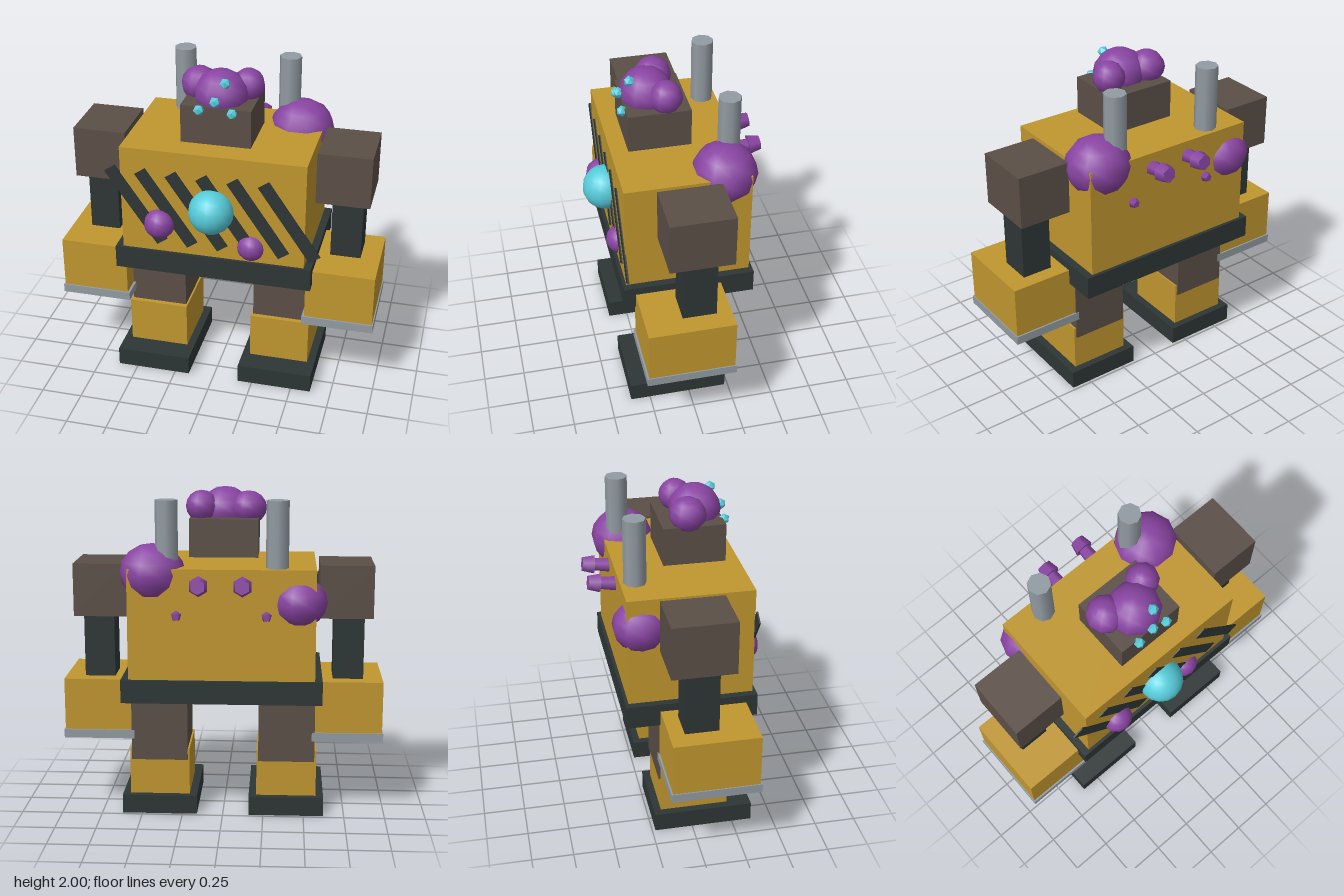
import * as THREE from 'three';

export function createModel() {
  const model = new THREE.Group();
  model.name = 'robot';

  const material = (name, color) => {
    const m = new THREE.MeshStandardMaterial({ color });
    m.name = name;
    return m;
  };
  const yellow = material('yellow armour', 0xc0962f);
  const dark = material('dark steel', 0x2d3635);
  const brown = material('brown metal', 0x5b4f47);
  const grey = material('grey metal', 0x929ba2);
  const purple = material('purple growth', 0x8944a2);
  const cyan = material('cyan glow', 0x56cbd9);

  const add = (name, geometry, mat, x, y, z, parent = model) => {
    const mesh = new THREE.Mesh(geometry, mat);
    mesh.name = name;
    mesh.position.set(x, y, z);
    parent.add(mesh);
    return mesh;
  };

  // Box given by its limits on each axis
  const box = (name, mat, [x0, x1], [y0, y1], [z0, z1], parent) =>
    add(name, new THREE.BoxGeometry(x1 - x0, y1 - y0, z1 - z0), mat,
      (x0 + x1) / 2, (y0 + y1) / 2, (z0 + z1) / 2, parent);

  // Ellipsoid growth
  const blob = (name, mat, [x, y, z], [rx, ry, rz], w = 10, h = 8) =>
    add(name, new THREE.SphereGeometry(1, w, h).scale(rx, ry, rz), mat, x, y, z);

  // Body
  box('torso', yellow, [-0.555, 0.555], [0.89, 1.56], [-0.37, 0.37]);
  box('pelvis', dark, [-0.6, 0.6], [0.755, 0.895], [-0.39, 0.39]);
  box('head', brown, [-0.208, 0.208], [1.59, 1.82], [-0.095, 0.275]);

  // Arms and legs, mirrored
  for (const side of [1, -1]) {
    const label = side > 0 ? 'left' : 'right';
    const span = (a, b) => (side > 0 ? [a, b] : [-b, -a]);
    const arm = new THREE.Group();
    arm.name = label + 'Arm';
    box('shoulder', brown, span(0.58, 0.902), [1.24, 1.56], [-0.187, 0.187], arm);
    box('upperArm', dark, span(0.67, 0.855), [0.84, 1.25], [-0.1, 0.1], arm);
    box('forearm', yellow, span(0.56, 0.973), [0.525, 0.848], [-0.19, 0.322], arm);
    box('forearmPlate', grey, span(0.545, 0.98), [0.475, 0.528], [-0.2, 0.333], arm);

    const leg = new THREE.Group();
    leg.name = label + 'Leg';
    box('thigh', brown, span(0.218, 0.563), [0.34, 0.76], [-0.197, 0.197], leg);
    box('shin', yellow, span(0.207, 0.575), [0.11, 0.408], [-0.187, 0.227], leg);
    box('foot', dark, span(0.16, 0.622), [0, 0.117], [-0.23, 0.37], leg);
    model.add(arm, leg);

    // Exhaust pipes
    add(label + 'Exhaust', new THREE.CylinderGeometry(0.067, 0.067, 0.445, 8), grey,
      side * 0.325, 1.7325, -0.283);
  }

  // Slanted warning stripes on the chest
  for (let i = 0; i < 6; i++) {
    const stripe = add('chestStripe', new THREE.BoxGeometry(0.078, 0.553, 0.009), dark,
      -0.4625 + i * 0.185, 1.19, 0.371);
    stripe.rotation.z = 0.6;
  }

  // Glowing core and chest growths
  blob('core', cyan, [0, 1.212, 0.388], [0.135, 0.135, 0.135], 16, 12);
  blob('chestGrowth', purple, [-0.323, 1.08, 0.362], [0.095, 0.095, 0.095], 12, 10);
  blob('chestGrowth', purple, [0.233, 0.985, 0.343], [0.087, 0.087, 0.087], 12, 10);

  // Growths over head, shoulder and back
  blob('headGrowth', purple, [0, 1.855, 0.13], [0.16, 0.143, 0.156]);
  blob('headGrowth', purple, [-0.145, 1.875, 0.06], [0.11, 0.103, 0.11]);
  blob('headGrowth', purple, [0.14, 1.885, 0.04], [0.097, 0.097, 0.097]);
  blob('shoulderGrowth', purple, [0.415, 1.52, -0.24], [0.197, 0.175, 0.192]);
  blob('backGrowth', purple, [-0.46, 1.355, -0.28], [0.163, 0.15, 0.163]);

  // Small crystal eyes
  const eyes = [[0.047, 1.957, 0.232], [0, 1.862, 0.288], [-0.095, 1.805, 0.288], [0.1, 1.8, 0.288]];
  for (const [x, y, z] of eyes) {
    add('crystalEye', new THREE.IcosahedronGeometry(0.033, 0), cyan, x, y, z);
  }

  // Capped stubs and small chips growing from the back
  for (const s of [1, -1]) {
    const stub = new THREE.Group();
    stub.name = 'backStub';
    stub.position.set(s * 0.127, 1.465, -0.36);
    stub.rotation.x = -Math.PI / 2 + 0.12;
    add('stubStem', new THREE.CylinderGeometry(0.038, 0.048, 0.14, 6).toNonIndexed(), purple, 0, 0.05, 0, stub);
    add('stubCap', new THREE.CylinderGeometry(0.045, 0.06, 0.07, 6).toNonIndexed(), purple, 0, 0.135, 0, stub);
    model.add(stub);

    const chip = add('backChip', new THREE.CylinderGeometry(0.022, 0.042, 0.07, 5), purple,
      s * 0.265, 1.285, -0.372);
    chip.rotation.x = -Math.PI / 2;
  }

  return model;
}
